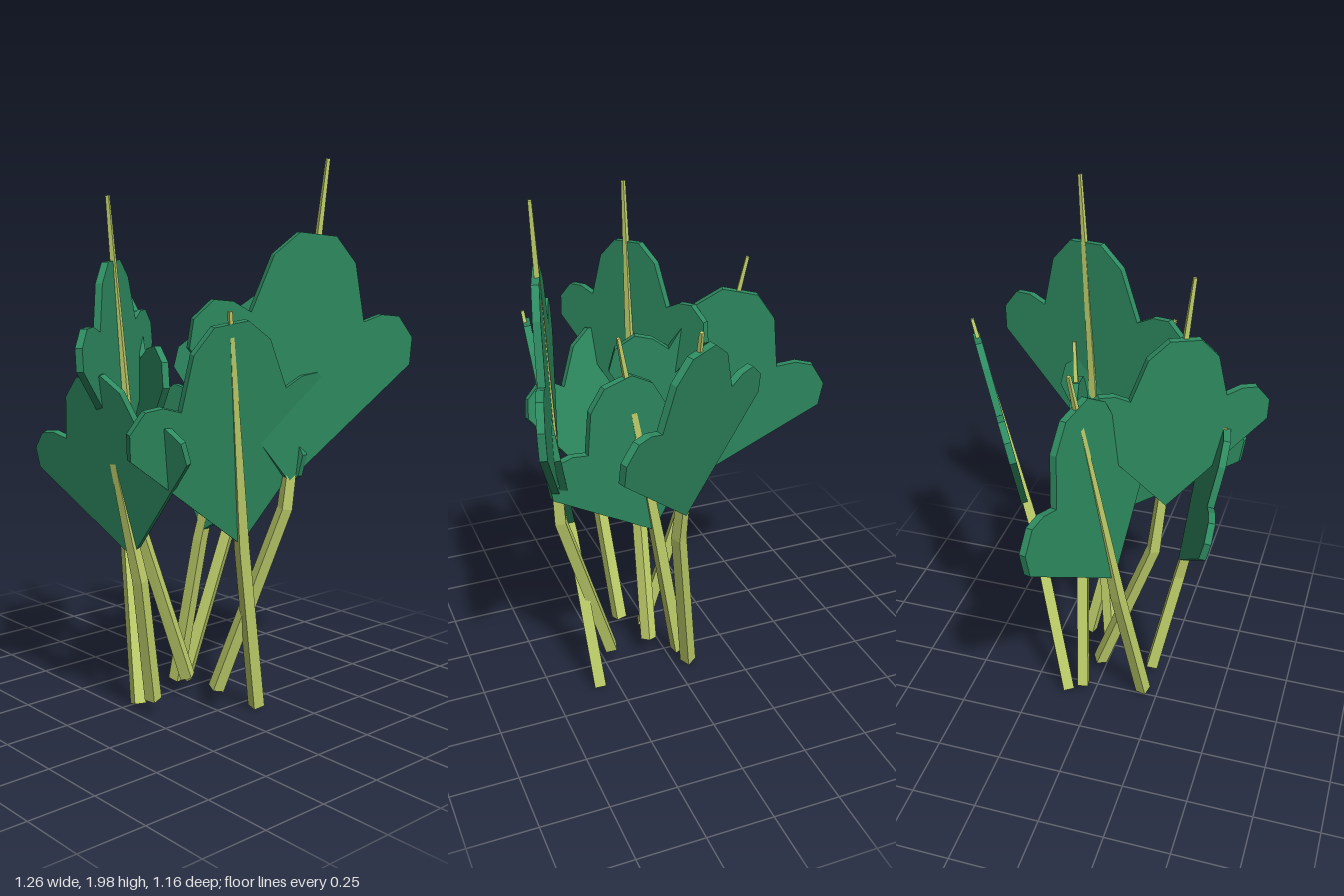
import * as THREE from 'three';

const leafMat = new THREE.MeshStandardMaterial({ color: 0x2e8b61 });
leafMat.name = 'leafGreen';
const stemMat = new THREE.MeshStandardMaterial({ color: 0xc2d26c });
stemMat.name = 'stemGreen';
const THICK = 0.026;

// Half outline of the three-lobed blade, for a blade of unit size
const HALF = [[0.49, 0.5], [0.485, 0.61], [0.41, 0.69], [0.33, 0.69], [0.25, 0.655],
  [0.18, 0.88], [0.08, 0.975]];

// Each plant: stem base, bend and tip; blade base, blade top and sideways direction
const PLANTS = [
  { name: 'backPlant', stem: [[-0.06, 0.03, -0.11], [0.05, 0.72, -0.27], [0.07, 1.6, -0.49]],
    base: [0.05, 0.84, -0.31], top: [0.06, 1.53, -0.47], side: [0.63, 0, -0.35] },
  { name: 'middlePlant', stem: [[-0.04, 0.05, -0.05], [0.06, 0.62, -0.08], [0.23, 1.48, -0.16]],
    base: [0.08, 0.66, -0.08], top: [0.235, 1.32, -0.15], side: [0.66, 0, -0.11] },
  { name: 'rightPlant', stem: [[0.02, 0.03, 0.19], [-0.13, 0.62, 0.12], [-0.32, 1.65, 0]],
    base: [-0.15, 0.73, 0.1], top: [-0.3, 1.52, 0.01], side: [0.76, 0, 0.23] },
  { name: 'tallPlant', stem: [[0.07, 0.1, -0.01], [0.035, 0.75, 0.21], [0.03, 1.88, 0.32]],
    base: [0.02, 0.98, 0.25], top: [0.02, 1.66, 0.3], side: [0.36, 0, 0.59] },
  { name: 'tallestPlant', stem: [[0.23, 0.1, -0.01], [0.45, 0.8, -0.13], [0.53, 2, -0.23]],
    base: [0.46, 0.9, -0.13], top: [0.515, 1.75, -0.2], side: [0.27, 0, -0.81] },
  { name: 'leftPlant', stem: [[0.32, 0.03, -0.13], [0.37, 0.66, 0], [0.47, 1.5, 0.16]],
    base: [0.365, 0.68, 0.01], top: [0.46, 1.46, 0.15], side: [0.2, 0, -0.97] },
  { name: 'frontPlant', stem: [[0.12, 0.08, 0.2], [0.16, 0.55, 0.29], [0.11, 1.29, 0.44]],
    base: [0.14, 0.64, 0.3], top: [0.095, 1.28, 0.45], side: [0.63, 0, -0.15] },
];

const vec = (p) => new THREE.Vector3(...p);

// Flat blade extruded to an even thickness, set upright along its own axis
function leafBlade(plant) {
  const base = vec(plant.base);
  const up = vec(plant.top).sub(base);
  const size = up.length() / 0.975;
  up.normalize();
  const side = vec(plant.side);
  side.addScaledVector(up, -side.dot(up)).normalize();
  const normal = side.clone().cross(up);
  const outline = [[0, 0], ...HALF, ...HALF.map(([x, y]) => [-x, y]).reverse()];
  const shape = new THREE.Shape(outline.map(([x, y]) => new THREE.Vector2(x * size, y * size)));
  const geo = new THREE.ExtrudeGeometry(shape, { depth: THICK, bevelEnabled: false });
  geo.translate(0, 0, -THICK / 2);
  geo.applyMatrix4(new THREE.Matrix4().makeBasis(side, up, normal).setPosition(base));
  const mesh = new THREE.Mesh(geo, leafMat);
  mesh.name = 'leafBlade';
  return mesh;
}

// Tapering square stem with one bend
function leafStem(plant) {
  const pts = plant.stem.map(vec);
  const halfWidths = [0.022, 0.02, 0.006];
  const hint = vec(plant.side);
  const pos = [];
  const rings = pts.map((p, i) => {
    const dir = pts[Math.min(i + 1, 2)].clone().sub(pts[Math.max(i - 1, 0)]).normalize();
    const u = hint.clone().addScaledVector(dir, -hint.dot(dir)).normalize();
    const w = u.clone().cross(dir);
    return [[-1, 1], [1, 1], [1, -1], [-1, -1]].map(([a, b]) =>
      p.clone().addScaledVector(u, a * halfWidths[i]).addScaledVector(w, b * halfWidths[i]));
  });
  const quad = (a, b, c, d) => [a, b, c, a, c, d].forEach((v) => pos.push(v.x, v.y, v.z));
  for (let i = 0; i < 2; i++) {
    for (let k = 0; k < 4; k++) {
      const n = (k + 1) % 4;
      quad(rings[i][k], rings[i][n], rings[i + 1][n], rings[i + 1][k]);
    }
  }
  quad(...[...rings[0]].reverse());
  quad(...rings[2]);
  const geo = new THREE.BufferGeometry();
  geo.setAttribute('position', new THREE.Float32BufferAttribute(pos, 3));
  geo.computeVertexNormals();
  const mesh = new THREE.Mesh(geo, stemMat);
  mesh.name = 'stem';
  return mesh;
}

export function createModel() {
  const model = new THREE.Group();
  model.name = 'leafCluster';
  for (const plant of PLANTS) {
    const group = new THREE.Group();
    group.name = plant.name;
    group.add(leafStem(plant), leafBlade(plant));
    model.add(group);
  }
  return model;
}
